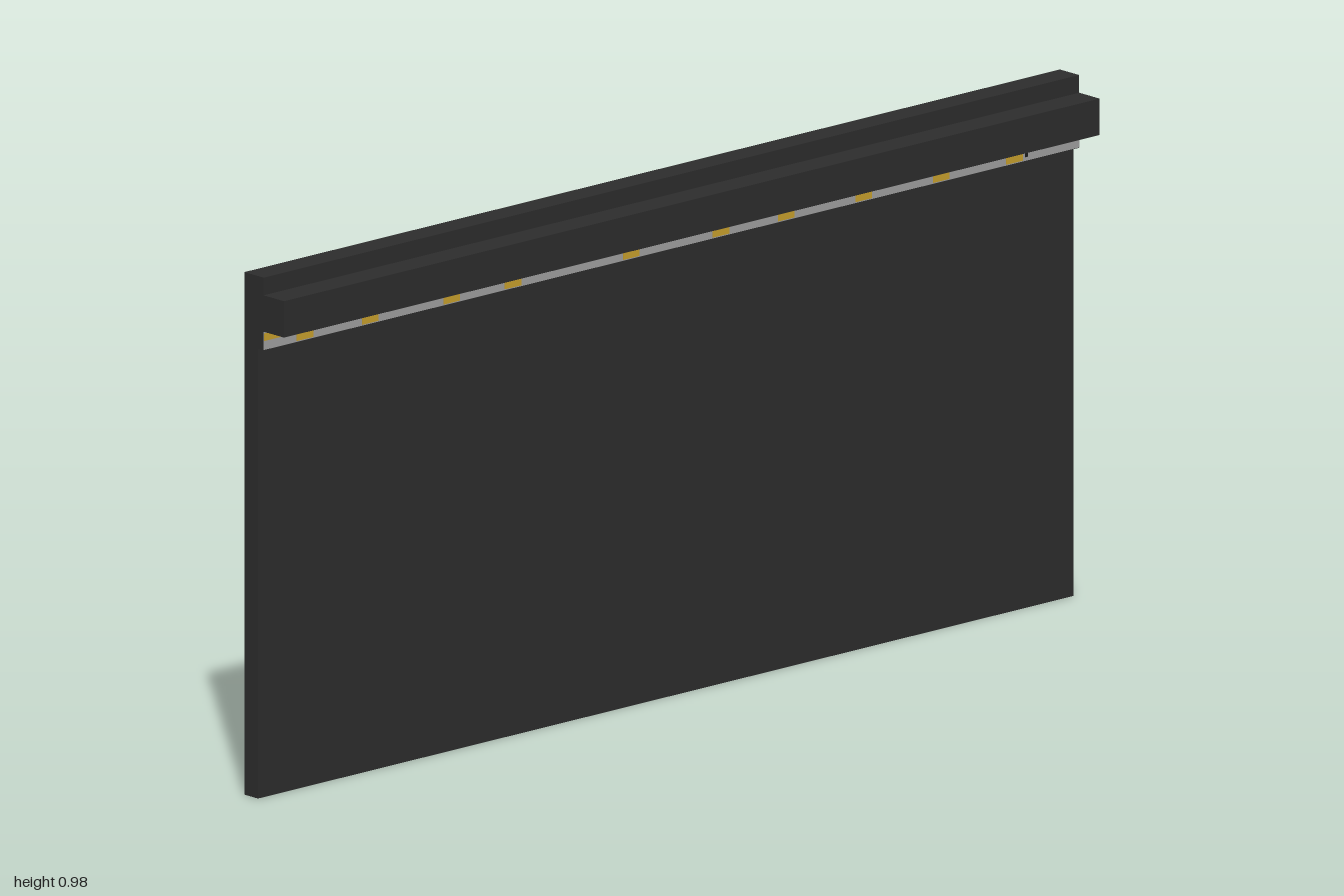
import * as THREE from 'three';

const mat = (name, color) => {
  const m = new THREE.MeshStandardMaterial({ color });
  m.name = name;
  return m;
};

export function createModel() {
  const group = new THREE.Group();
  const charcoal = mat('charcoal', 0x2d2d2d);
  const stripGrey = mat('strip grey', 0xa0a0a0);
  const amber = mat('amber', 0xc9a02c);
  const black = mat('black', 0x1c1c1c);

  const box = (name, material, x0, x1, y0, y1, z0 = -1, z1 = 1) => {
    const mesh = new THREE.Mesh(new THREE.BoxGeometry(x1 - x0, y1 - y0, z1 - z0), material);
    mesh.position.set((x0 + x1) / 2, (y0 + y1) / 2, (z0 + z1) / 2);
    mesh.name = name;
    group.add(mesh);
  };

  // Panel, thicker top rail and projecting ledge share one section along z
  const profile = [
    [-0.053, 0], [-0.017, 0], [-0.017, 0.84], [-0.002, 0.84], [-0.002, 0.875],
    [0.052, 0.875], [0.052, 0.943], [-0.002, 0.943], [-0.002, 0.976], [-0.053, 0.976],
  ].map(([x, y]) => new THREE.Vector2(x, y));
  const bodyGeometry = new THREE.ExtrudeGeometry(new THREE.Shape(profile), { depth: 2, bevelEnabled: false });
  bodyGeometry.translate(0, 0, -1);
  const body = new THREE.Mesh(bodyGeometry, charcoal);
  body.name = 'panelWithRail';
  group.add(body);

  // Light strip tucked under the ledge
  box('lightStrip', stripGrey, -0.002, -0.001, 0.841, 0.875);

  // Small amber lamps, alternating between the upper and lower edge
  const lamps = [0.98, 0.9, 0.83, 0.74, 0.65, 0.54, 0.48, 0.39, 0.23, 0.1, -0.02, -0.12,
    -0.2, -0.28, -0.39, -0.47, -0.55, -0.66, -0.76, -0.84, -0.96];
  lamps.forEach((z, i) => {
    const y = i % 2 ? 0.843 : 0.858;
    box('lamp', amber, -0.001, 0, y, y + 0.014, z - 0.02, z + 0.02);
  });

  // Tiny dark mark near the back end
  box('stripMark', black, -0.001, 0, 0.848, 0.858, -0.873, -0.866);

  return group;
}
